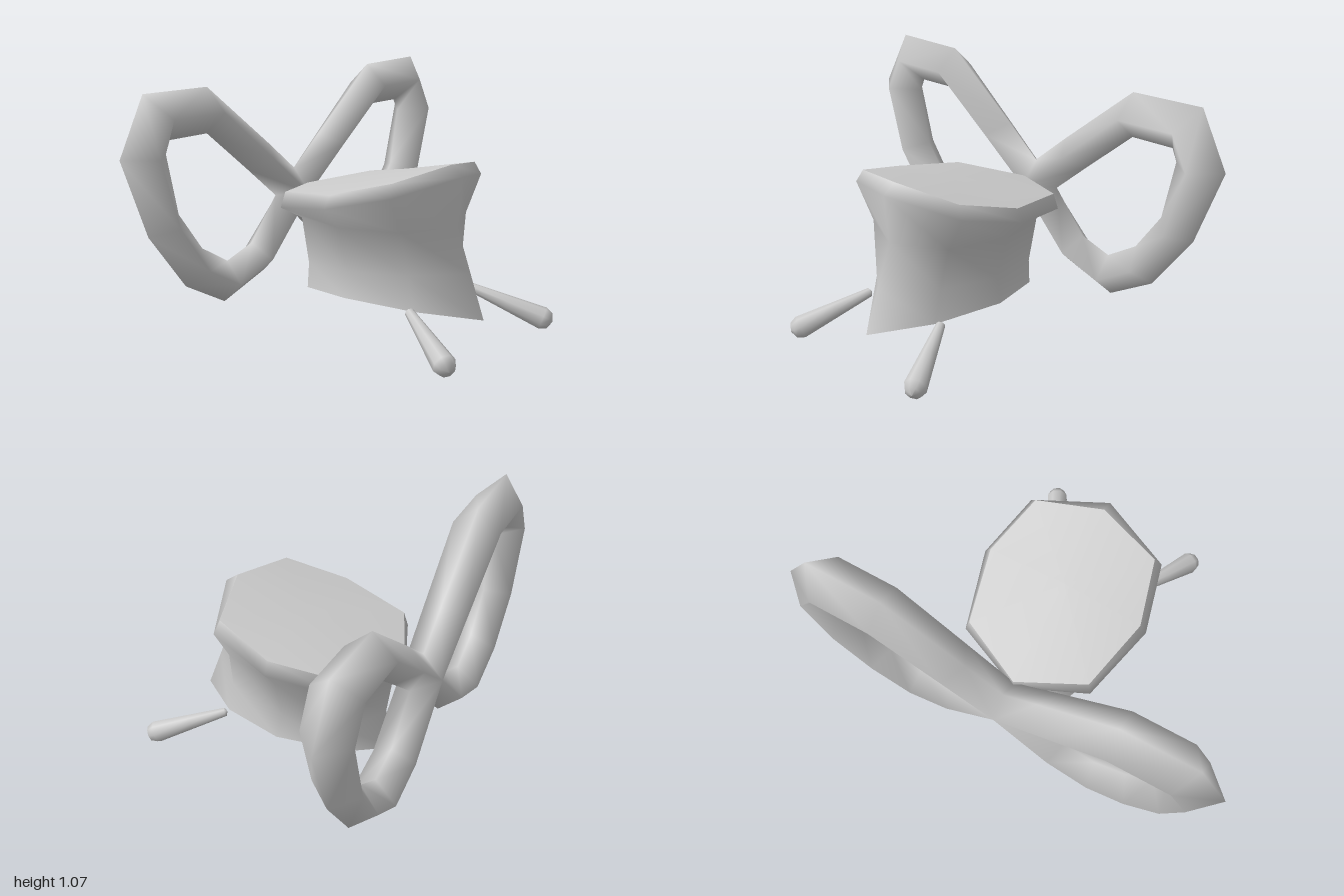
import * as THREE from 'three';
import { mergeGeometries, mergeVertices } from 'three/addons/utils/BufferGeometryUtils.js';

const material = new THREE.MeshStandardMaterial({ color: 0xcccccc });

// Indexed geometry from points and triangles
function surface(points, index) {
  const geo = new THREE.BufferGeometry();
  geo.setAttribute('position', new THREE.Float32BufferAttribute(points.flat(), 3));
  geo.setIndex(index);
  geo.computeVertexNormals();
  return geo;
}

// Skin over a list of closed rings with equal point counts
function loft(rings, flip = false) {
  const n = rings[0].length, index = [];
  for (let i = 0; i < rings.length - 1; i++) {
    for (let j = 0; j < n; j++) {
      const a = i * n + j, c = i * n + (j + 1) % n, b = a + n, d = c + n;
      if (flip) index.push(a, d, b, a, c, d);
      else index.push(a, b, d, a, d, c);
    }
  }
  return surface(rings.flat(), index);
}

// Fan from a centre point to a ring
function fan(ring, centre, flip = false) {
  const n = ring.length, index = [];
  for (let j = 0; j < n; j++) {
    const k = (j + 1) % n;
    index.push(n, flip ? k : j, flip ? j : k);
  }
  return surface([...ring, centre], index);
}

function addMesh(parent, name, geo) {
  const mesh = new THREE.Mesh(geo, material);
  mesh.name = name;
  parent.add(mesh);
  return mesh;
}

// Half rings from front to back, top to bottom; the other half is mirrored
const bodyHalves = [
  [[0, 0.76, 0.354], [0.29, 0.717, 0.27], [0.365, 0.645, 0], [0.29, 0.6, -0.32], [0, 0.573, -0.455]],
  [[0, 0.715, 0.413], [0.32, 0.66, 0.285], [0.395, 0.59, 0], [0.305, 0.53, -0.335], [0, 0.495, -0.46]],
  [[0, 0.5, 0.39], [0.23, 0.5, 0.27], [0.31, 0.495, 0], [0.23, 0.48, -0.28], [0, 0.46, -0.406]],
  [[0, 0.31, 0.46], [0.19, 0.31, 0.28], [0.255, 0.29, 0], [0.2, 0.27, -0.27], [0, 0.27, -0.38]],
  [[0, 0.12, 0.53], [0.19, 0.16, 0.31], [0.285, 0.184, 0.01], [0.19, 0.15, -0.29], [0, 0.085, -0.427]],
];

// Wing loop stations: outer x, y, inner x, y, half depth
const wingStations = [
  [0.165, 0.77, 0.3, 0.67, 0.1],
  [0.525, 1.063, 0.535, 0.866, 0.11],
  [0.87, 1.07, 0.74, 0.866, 0.11],
  [1, 0.82, 0.763, 0.81, 0.11],
  [0.875, 0.48, 0.708, 0.545, 0.108],
  [0.685, 0.225, 0.585, 0.372, 0.104],
  [0.465, 0.103, 0.44, 0.284, 0.1],
  [0.22, 0.19, 0.29, 0.335, 0.097],
];
const WING_Z = -0.537;

// Diamond-section loop on one side, ending in the shared knot at x = 0
function wingSide(s) {
  const ring = (ox, oy, ix, iy, h, mx = (ox + ix) / 2, my = (oy + iy) / 2) => [
    [s * ox, oy, WING_Z], [s * mx, my, WING_Z + h],
    [s * ix, iy, WING_Z], [s * mx, my, WING_Z - h],
  ];
  const rings = [
    ring(0, 0.63, 0.13, 0.525, 0.092, 0, 0.525),
    ...wingStations.map((p) => ring(...p)),
    ring(0, 0.41, 0.13, 0.525, 0.092, 0, 0.525),
  ];
  return loft(rings, s > 0);
}

export function createModel() {
  const model = new THREE.Group();
  model.name = 'wingedBody';

  // Body with sloping top and pointed hem
  const body = new THREE.Group();
  body.name = 'body';
  model.add(body);
  const rings = bodyHalves.map((half) => [
    ...half,
    ...half.slice(1, 4).reverse().map(([x, y, z]) => [-x, y, z]),
  ]);
  addMesh(body, 'bodyShell', loft(rings));
  addMesh(body, 'bodyTop', fan(rings[0], [0, 0.688, 0]));
  addMesh(body, 'bodyUnderside', fan(rings[rings.length - 1], [0, 0.19, 0], true));

  // Pair of wing loops joined at the knot
  const wings = mergeGeometries([wingSide(1), wingSide(-1)]);
  wings.deleteAttribute('normal');
  const joined = mergeVertices(wings, 1e-4);
  joined.computeVertexNormals();
  addMesh(model, 'wings', joined);

  // Short tapered legs with rounded ends
  const profile = [[0, -0.01], [0.02, 0], [0.035, 0.17], [0.05, 0.34], [0.036, 0.372], [0, 0.386]]
    .map(([r, y]) => new THREE.Vector2(r, y));
  const legGeo = new THREE.LatheGeometry(profile, 8);
  for (const s of [1, -1]) {
    const leg = addMesh(model, s > 0 ? 'leftLeg' : 'rightLeg', legGeo);
    leg.position.set(s * 0.222, 0.168, 0.31);
    const direction = new THREE.Vector3(s * 0.145, -0.122, 0.29).normalize();
    leg.quaternion.setFromUnitVectors(new THREE.Vector3(0, 1, 0), direction);
  }
  return model;
}
